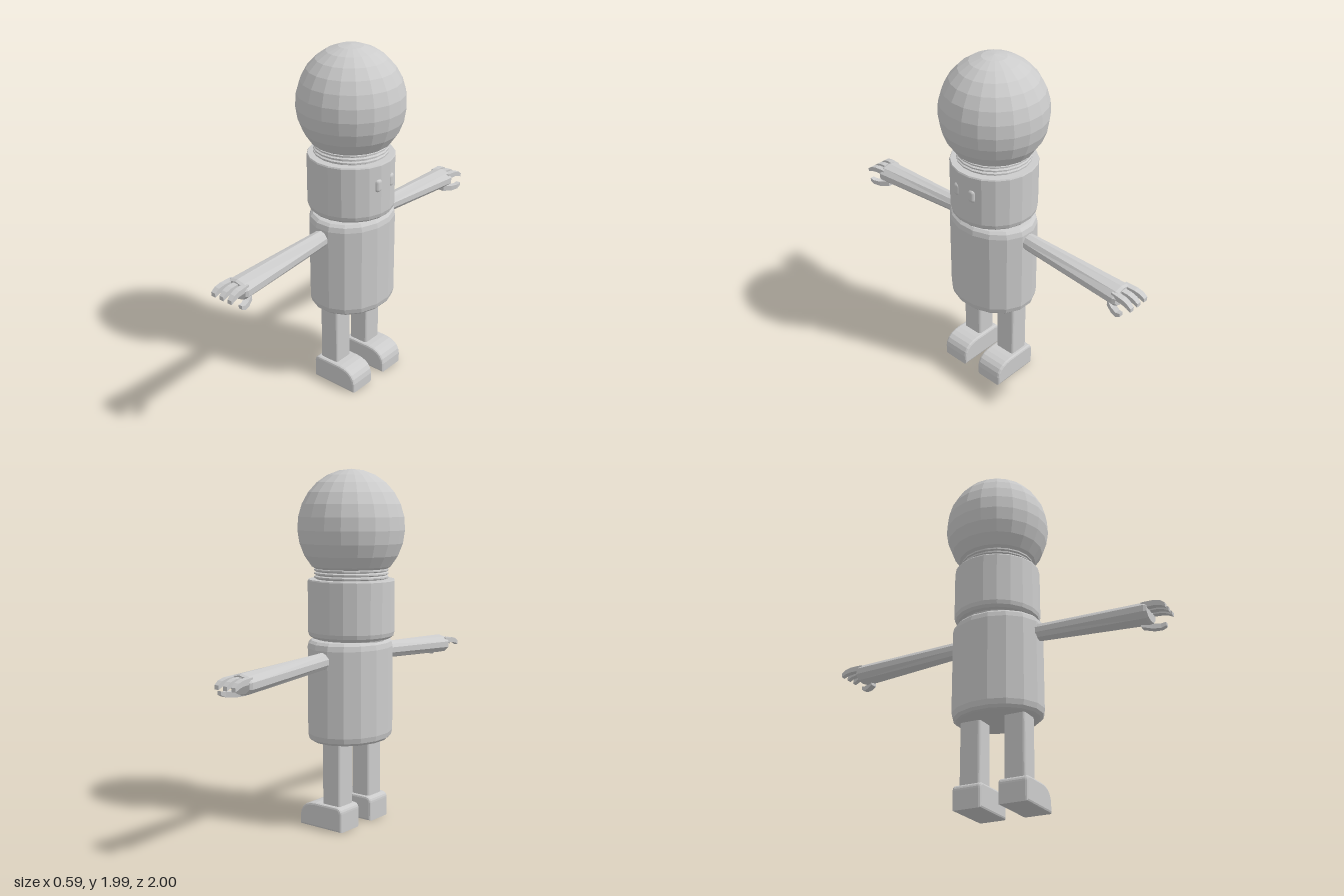
import * as THREE from 'three';
import { RoundedBoxGeometry } from 'three/addons/geometries/RoundedBoxGeometry.js';

const material = new THREE.MeshStandardMaterial({ color: 0xcccccc, flatShading: true });

function add(parent, name, geometry, x = 0, y = 0, z = 0) {
  const mesh = new THREE.Mesh(geometry, material);
  mesh.name = name;
  mesh.position.set(x, y, z);
  parent.add(mesh);
  return mesh;
}

// Lathe with a flat facet facing +x
function turned(profile, sides) {
  const points = profile.map(([r, y]) => new THREE.Vector2(r, y));
  return new THREE.LatheGeometry(points, sides, Math.PI / sides);
}

// Loft along z through polygon sections [x, y, z, halfWidth, halfHeight]; side -1 mirrors it to -z
function loft(sections, sides, side) {
  const positions = [], index = [];
  const grow = 1 / Math.cos(Math.PI / sides);
  const tri = (a, b, c) => (side > 0 ? index.push(a, b, c) : index.push(a, c, b));
  sections.forEach(([x, y, z, hw, hh]) => {
    for (let j = 0; j < sides; j++) {
      const a = ((j + 0.5) / sides) * Math.PI * 2;
      positions.push(x + Math.cos(a) * hw * grow, y + Math.sin(a) * hh * grow, z * side);
    }
  });
  const last = (sections.length - 1) * sides;
  for (let i = 0; i < sections.length - 1; i++) {
    for (let j = 0; j < sides; j++) {
      const a = i * sides + j, b = i * sides + ((j + 1) % sides);
      tri(a, b, b + sides);
      tri(a, b + sides, a + sides);
    }
  }
  for (let j = 1; j < sides - 1; j++) {
    tri(0, j + 1, j);
    tri(last, last + j, last + j + 1);
  }
  const geometry = new THREE.BufferGeometry();
  geometry.setAttribute('position', new THREE.Float32BufferAttribute(positions, 3));
  geometry.setIndex(index);
  geometry.computeVertexNormals();
  return geometry;
}

// Shoe profile with a rounded toe toward +x, bevelled on its sides
function footGeometry() {
  const bevel = 0.012;
  const shape = new THREE.Shape();
  shape.moveTo(-0.083, bevel);
  shape.lineTo(0.186, bevel);
  shape.lineTo(0.186, 0.055);
  shape.quadraticCurveTo(0.18, 0.125, 0.09, 0.128);
  shape.lineTo(-0.06, 0.128);
  shape.quadraticCurveTo(-0.083, 0.128, -0.083, 0.105);
  shape.closePath();
  const depth = 0.17 - bevel * 2;
  return new THREE.ExtrudeGeometry(shape, {
    depth, bevelSize: bevel, bevelThickness: bevel, bevelSegments: 2, curveSegments: 5,
  }).translate(0, 0, -depth / 2);
}

function addArm(parent, side) {
  const arm = new THREE.Group();
  arm.name = side > 0 ? 'rightArm' : 'leftArm';
  parent.add(arm);
  add(arm, 'sleeve', loft([
    [0, 0.958, 0.18, 0.043, 0.046],
    [0, 0.956, 0.27, 0.046, 0.046],
    [-0.005, 0.925, 0.885, 0.076, 0.053],
    [-0.005, 0.925, 0.9, 0.068, 0.046],
  ], 10, side));
  // Three curled fingers, fanning slightly outward
  for (const x of [-0.05, -0.004, 0.042]) {
    add(arm, 'finger', loft([
      [x, 0.95, 0.87, 0.017, 0.016],
      [x * 1.12, 0.947, 0.94, 0.017, 0.015],
      [x * 1.2, 0.938, 0.975, 0.016, 0.014],
      [x * 1.24, 0.922, 1.0, 0.014, 0.011],
    ], 4, side));
  }
  add(arm, 'thumb', loft([
    [0.025, 0.88, 0.84, 0.022, 0.018],
    [0.055, 0.871, 0.89, 0.02, 0.015],
    [0.075, 0.874, 0.93, 0.016, 0.013],
    [0.08, 0.884, 0.955, 0.012, 0.01],
  ], 4, side));
}

export function createModel() {
  const model = new THREE.Group();
  model.name = 'figure';

  // Domed head, open toward the neck
  const dome = [[0, 1.445], [0.2, 1.445]];
  for (let i = 0; i <= 10; i++) {
    const a = THREE.MathUtils.lerp(-0.74, Math.PI / 2, i / 10);
    dome.push([Math.max(0, Math.cos(a) * 0.297), 1.67 + Math.sin(a) * 0.315]);
  }
  add(model, 'dome', turned(dome, 20));

  // Threaded collar
  const collar = [[0, 1.37], [0.195, 1.37]];
  for (let i = 0; i < 3; i++) {
    const y = 1.39 + i * 0.02;
    collar.push([0.195, y], [0.206, y + 0.005], [0.206, y + 0.013], [0.195, y + 0.018]);
  }
  collar.push([0, 1.448]);
  add(model, 'collar', turned(collar, 20));

  // Face cylinder with two eye plates
  add(model, 'face', turned([
    [0, 1.03], [0.19, 1.03], [0.2, 1.06], [0.222, 1.065], [0.236, 1.078],
    [0.242, 1.1], [0.242, 1.38], [0.238, 1.387], [0, 1.387],
  ], 20));
  for (const side of [1, -1]) {
    add(model, 'eye', new RoundedBoxGeometry(0.05, 0.075, 0.045, 3, 0.018), 0.219, 1.268, side * 0.052);
  }

  // Torso, wider across the shoulders
  const torso = add(model, 'torso', turned([
    [0, 0.488], [0.85, 0.488], [0.91, 0.492], [0.97, 0.506], [1, 0.535],
    [1, 1.012], [0.97, 1.04], [0.91, 1.054], [0.85, 1.057], [0, 1.057],
  ], 16), 0.008);
  torso.geometry.scale(0.225, 1, 0.263);

  for (const side of [1, -1]) {
    addArm(model, side);
    add(model, 'leg', new RoundedBoxGeometry(0.122, 0.42, 0.126, 2, 0.016), -0.006, 0.32, side * 0.133);
    add(model, 'foot', footGeometry(), 0, 0, side * 0.135);
  }
  return model;
}
